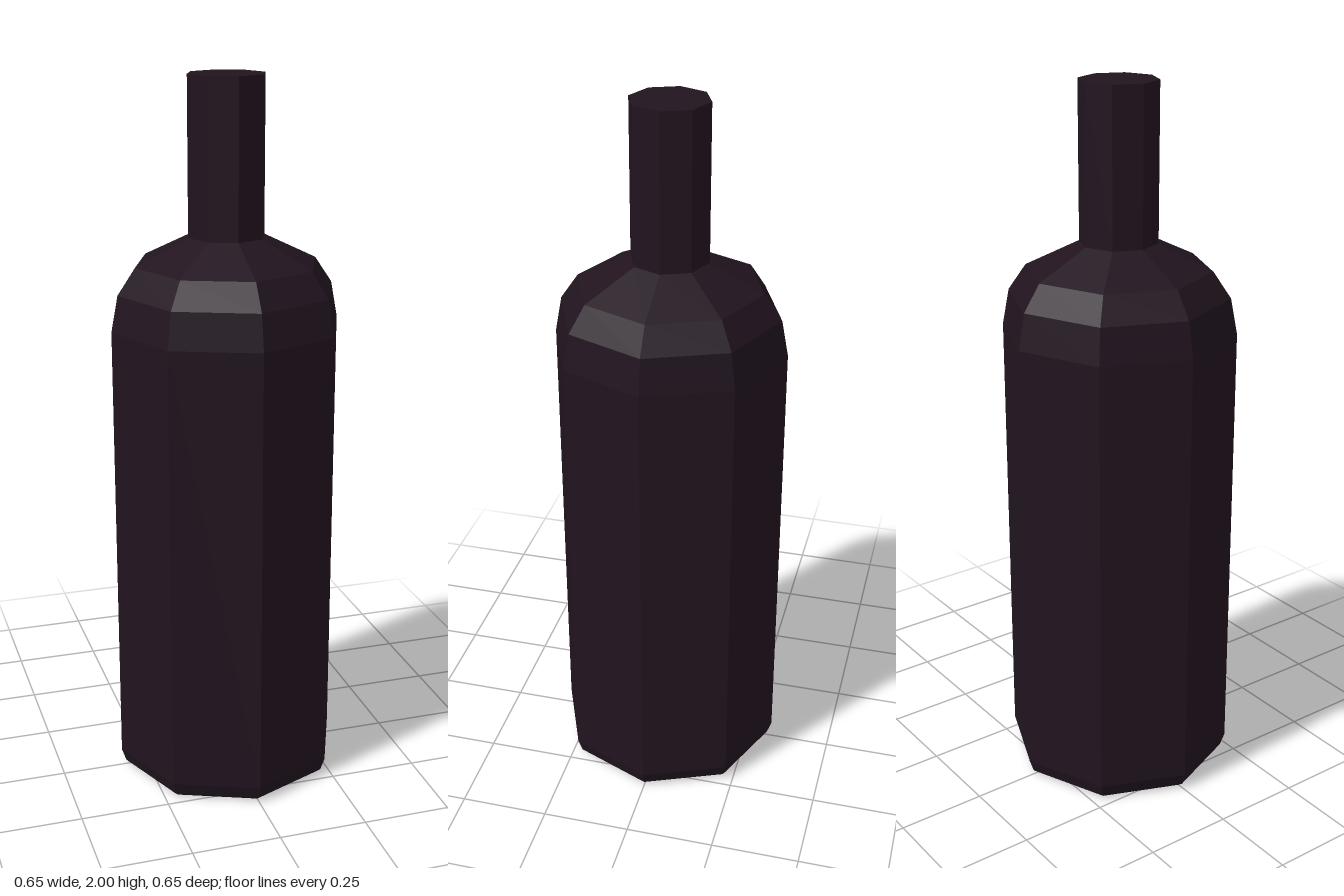
import * as THREE from 'three';

const SIDES = 8;

export function createModel() {
  const group = new THREE.Group();
  group.name = 'bottle';
  const glass = new THREE.MeshStandardMaterial({ color: 0x21141f, flatShading: true });

  // Turns a [radius, height] profile, listed bottom to top, into an octagonal part
  const addTurned = (name, profile) => {
    const points = profile.map(([r, y]) => new THREE.Vector2(r, y));
    const mesh = new THREE.Mesh(new THREE.LatheGeometry(points, SIDES), glass);
    mesh.name = name;
    group.add(mesh);
  };

  // Closed base with a bevelled rim, and straight walls
  addTurned('body', [[0, 0], [0.297, 0], [0.312, 0.012], [0.325, 0.05], [0.325, 1.325]]);

  // Rounded shoulder, stepping in to the neck
  addTurned('shoulder', [[0.325, 1.325], [0.306, 1.425], [0.257, 1.497], [0.108, 1.57]]);

  // Straight neck with a flat closed top
  addTurned('neck', [[0.108, 1.57], [0.108, 2], [0, 2]]);

  return group;
}
